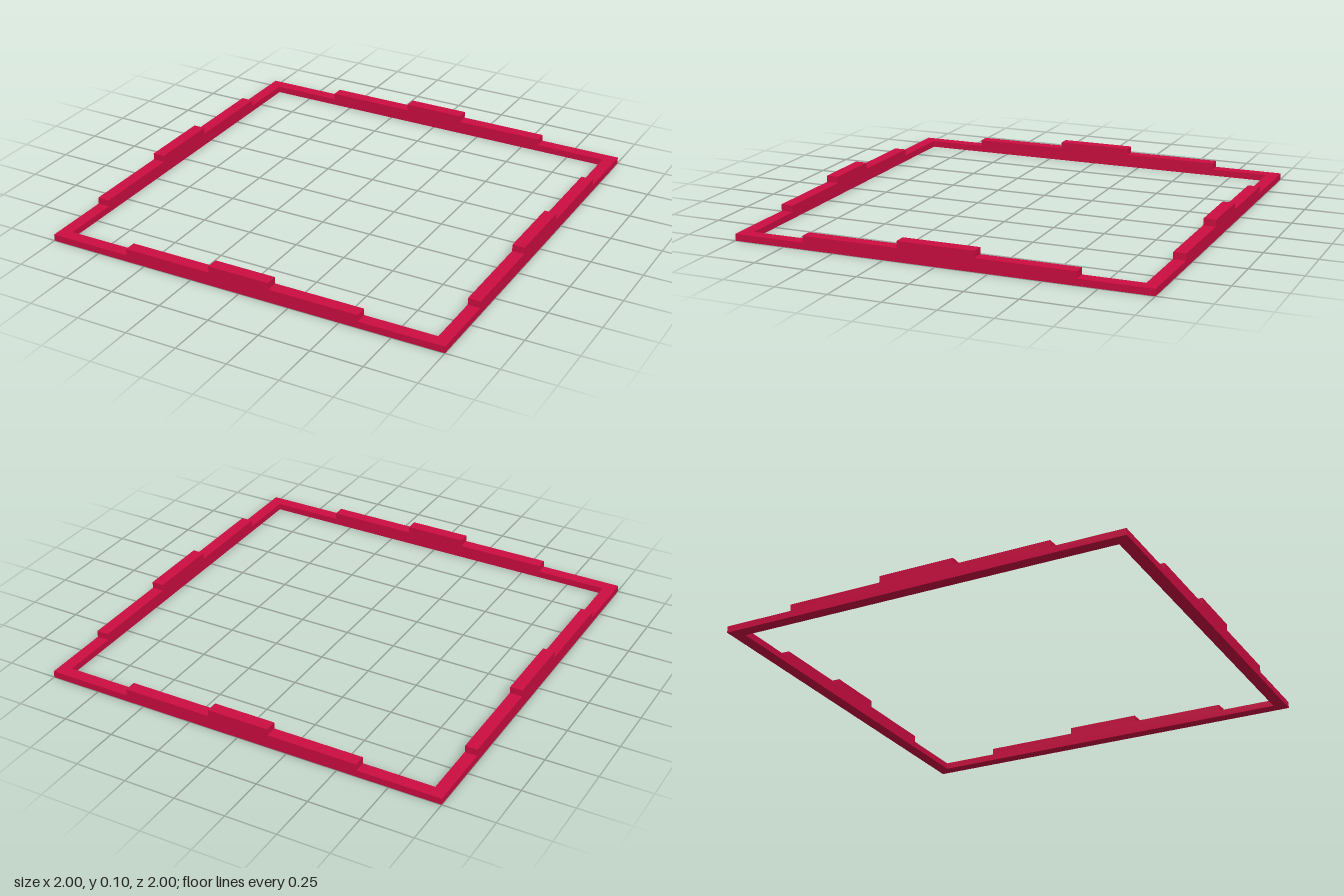
import * as THREE from 'three';

const WIDTH = 0.06; // rail thickness in plan
const STEP = 0.032; // height of each tier

// Stepped rail running along x, centred on its thickness.
// Each tier is a [start, end] pair, from the bottom up.
function railGeometry(tiers) {
  const points = [];
  tiers.forEach(([, end], i) => {
    points.push(new THREE.Vector2(end, i * STEP), new THREE.Vector2(end, (i + 1) * STEP));
  });
  for (let i = tiers.length - 1; i >= 0; i--) {
    const start = tiers[i][0];
    points.push(new THREE.Vector2(start, (i + 1) * STEP), new THREE.Vector2(start, i * STEP));
  }
  const geometry = new THREE.ExtrudeGeometry(new THREE.Shape(points), { depth: WIDTH, bevelEnabled: false });
  return geometry.translate(0, 0, -WIDTH / 2);
}

export function createModel() {
  const model = new THREE.Group();
  model.name = 'steppedFrame';
  const crimson = new THREE.MeshStandardMaterial({ color: 0xcc0d40 });
  crimson.name = 'crimson';

  const inner = 1 - WIDTH;
  const offset = 1 - WIDTH / 2;

  // Front and back rails span the full width
  const longRail = railGeometry([[-1, 1], [-0.595, 0.59], [-0.155, 0.15]]);
  // Side rails fit between them
  const sideRail = railGeometry([[-inner, inner], [-0.655, 0.652], [-0.188, 0.183]])
    .rotateY(-Math.PI / 2);

  for (const [name, geometry, x, z] of [
    ['frontRail', longRail, 0, offset],
    ['backRail', longRail, 0, -offset],
    ['leftRail', sideRail, offset, 0],
    ['rightRail', sideRail, -offset, 0],
  ]) {
    const rail = new THREE.Mesh(geometry, crimson);
    rail.name = name;
    rail.position.set(x, 0, z);
    model.add(rail);
  }
  return model;
}
